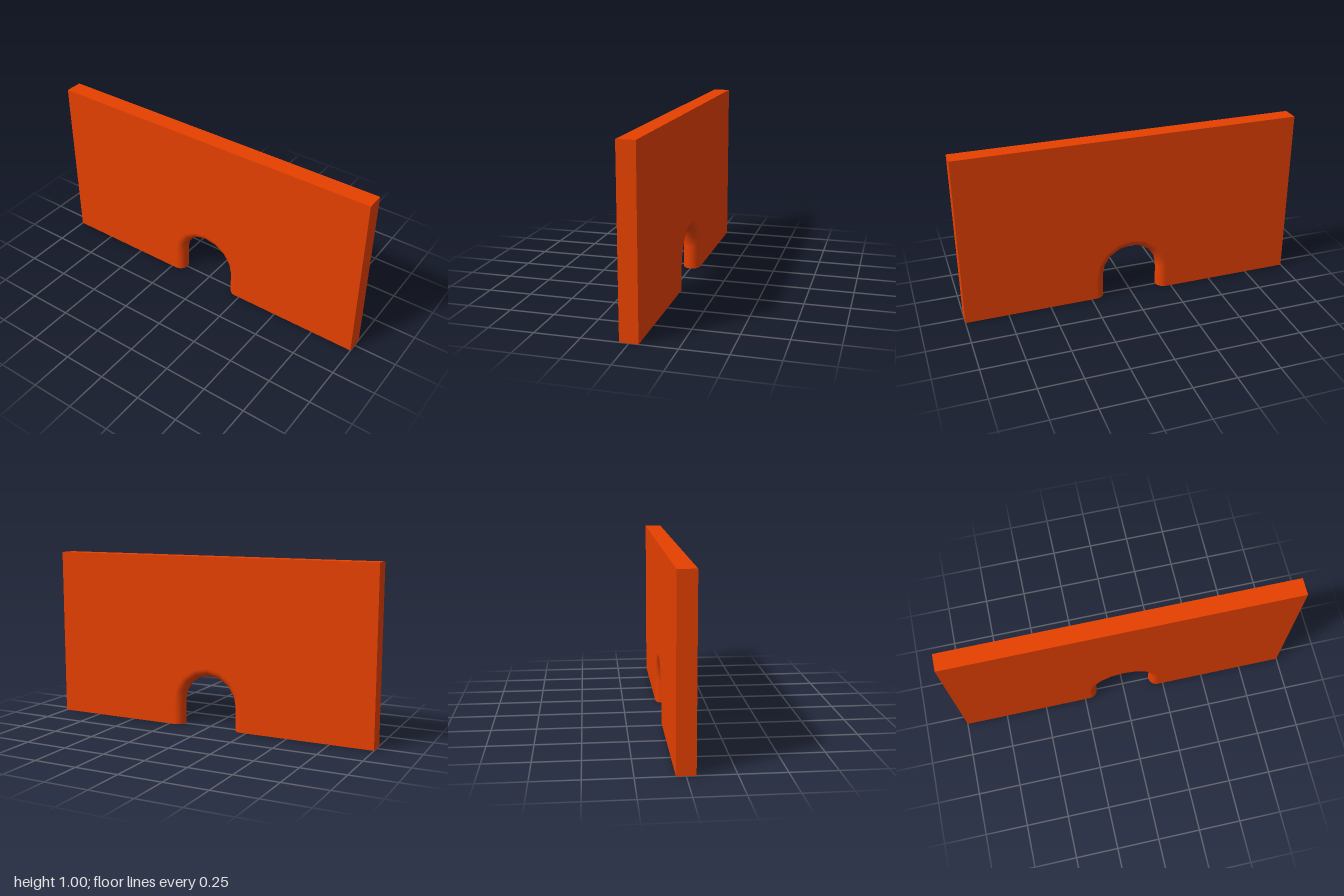
import * as THREE from 'three';
import { mergeGeometries } from 'three/addons/utils/BufferGeometryUtils.js';

const HALF = 0.05;      // half thickness of the wall, also the radius of the rounded lip
const R = 0.168;        // clear half width of the opening
const SPRING = 0.137;   // height where the arch begins
const ARC = 8, ROUND = 10;

// Stations along the opening: foot, half circle, foot
const stations = [{ t: 0, cy: 0 }];
for (let i = 0; i <= ARC; i++) stations.push({ t: Math.PI * i / ARC, cy: SPRING });
stations.push({ t: Math.PI, cy: 0 });

// Half-round section of the lip: offset across the wall and distance from the arch centre
const section = [];
for (let j = 0; j <= ROUND; j++) {
  const a = Math.PI * (j / ROUND - 0.5);
  section.push({ a, x: HALF * Math.sin(a), r: R + HALF * (1 - Math.cos(a)) });
}

// Rounded lip swept around the opening
function lipGeometry() {
  const pos = [], nor = [], idx = [], n = section.length;
  stations.forEach(({ t, cy }, i) => section.forEach(({ a, x, r }, j) => {
    pos.push(x, cy + r * Math.sin(t), r * Math.cos(t));
    nor.push(Math.sin(a), -Math.cos(a) * Math.sin(t), -Math.cos(a) * Math.cos(t));
    if (i < stations.length - 1 && j < n - 1) {
      const k = i * n + j;
      idx.push(k, k + n, k + 1, k + 1, k + n, k + n + 1);
    }
  }));
  const g = new THREE.BufferGeometry();
  g.setAttribute('position', new THREE.Float32BufferAttribute(pos, 3));
  g.setAttribute('normal', new THREE.Float32BufferAttribute(nor, 3));
  g.setIndex(idx);
  return g;
}

// Flat sides, top, ends and feet of the wall
function wallGeometry() {
  const outer = R + HALF;
  const face = new THREE.Shape([
    new THREE.Vector2(-1, 0), new THREE.Vector2(-1, 1),
    new THREE.Vector2(1, 1), new THREE.Vector2(1, 0),
    ...stations.map(({ t, cy }) => new THREE.Vector2(outer * Math.cos(t), cy + outer * Math.sin(t))),
  ]);
  const foot = new THREE.Shape([
    new THREE.Vector2(HALF, 1), new THREE.Vector2(-HALF, 1),
    ...section.map(({ x, r }) => new THREE.Vector2(x, r)),
  ]);
  const parts = [new THREE.PlaneGeometry(2 * HALF, 2).rotateX(-Math.PI / 2).translate(0, 1, 0)];
  for (const turn of [0, Math.PI]) {
    parts.push(
      new THREE.ShapeGeometry(face).translate(0, 0, HALF).rotateY(Math.PI / 2 + turn),
      new THREE.PlaneGeometry(2 * HALF, 1).translate(0, 0.5, 1).rotateY(turn),
      new THREE.ShapeGeometry(foot).rotateX(Math.PI / 2).rotateY(turn),
    );
  }
  return mergeGeometries(parts);
}

export function createModel() {
  const group = new THREE.Group();
  group.name = 'archedWall';
  const material = new THREE.MeshStandardMaterial({ color: 0xe64000 });
  const add = (name, geometry) => {
    const mesh = new THREE.Mesh(geometry, material);
    mesh.name = name;
    group.add(mesh);
  };
  add('wall', wallGeometry());
  add('roundedArchLip', lipGeometry());
  return group;
}
